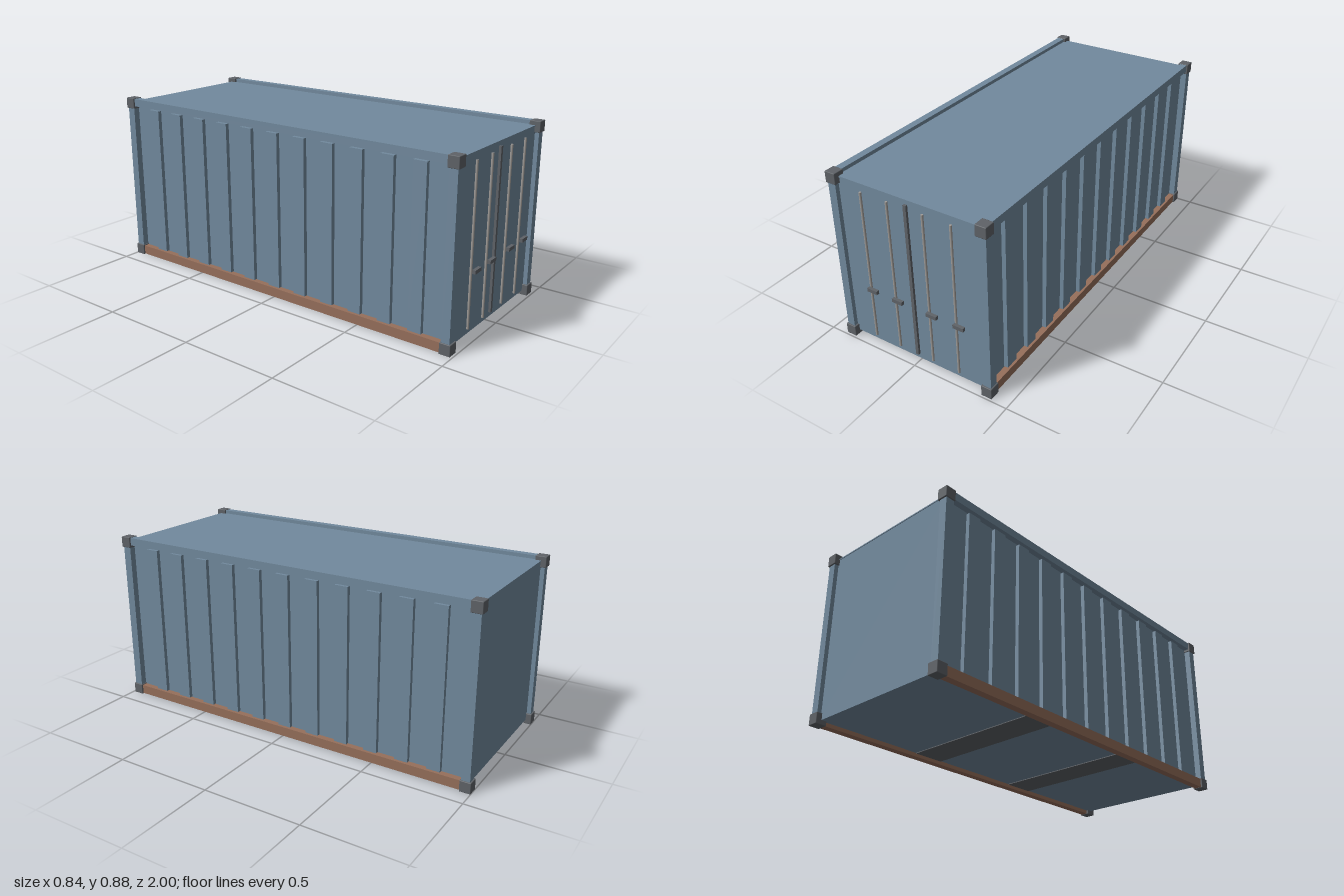
import * as THREE from 'three';
import { RoundedBoxGeometry } from 'three/addons/geometries/RoundedBoxGeometry.js';

const material = (name, color) => {
  const m = new THREE.MeshStandardMaterial({ color });
  m.name = name;
  return m;
};

export function createModel() {
  const blue = material('blue paint', 0x728a9e);
  const grey = material('dark steel', 0x5f6368);
  const steel = material('pale steel', 0xa09c98);
  const brown = material('brown rail', 0x966f5b);

  const model = new THREE.Group();
  model.name = 'shippingContainer';
  const shell = new THREE.Group();
  shell.name = 'container';
  shell.position.z = -0.005; // door handles stand proud of the front
  model.add(shell);

  const add = (name, geometry, mat, x, y, z) => {
    const mesh = new THREE.Mesh(geometry, mat);
    mesh.name = name;
    mesh.position.set(x, y, z);
    shell.add(mesh);
    return mesh;
  };
  // Box given by its lower and upper limits on each axis
  const box = (name, mat, [x0, x1], [y0, y1], [z0, z1]) =>
    add(name, new THREE.BoxGeometry(x1 - x0, y1 - y0, z1 - z0), mat,
      (x0 + x1) / 2, (y0 + y1) / 2, (z0 + z1) / 2);

  // Body, roof and fork pockets
  box('body', blue, [-0.38, 0.38], [0.022, 0.856], [-0.967, 0.967]);
  box('roof', blue, [-0.375, 0.375], [0.856, 0.862], [-0.97, 0.97]);
  for (const z of [-0.33, 0.33]) {
    box('forkPocket', grey, [-0.37, 0.37], [0.018, 0.03], [z - 0.08, z + 0.08]);
  }

  const casting = new RoundedBoxGeometry(0.055, 0.055, 0.055, 1, 0.003);
  for (const side of [-1, 1]) {
    // Long rails
    const span = side > 0 ? [0.373, 0.41] : [-0.41, -0.373];
    box('topRail', blue, span, [0.841, 0.88], [-0.95, 0.95]);
    box('bottomRail', brown, span, [0.003, 0.05], [-0.95, 0.95]);

    // Side wall ribs
    const rib = side > 0 ? [0.375, 0.4] : [-0.4, -0.375];
    for (let i = -5; i <= 5; i++) {
      const z = i * 0.161;
      box('wallRib', blue, rib, [0.053, 0.832], [z - 0.034, z + 0.034]);
    }

    // Corner posts and castings
    const post = side > 0 ? [0.371, 0.412] : [-0.412, -0.371];
    for (const end of [-1, 1]) {
      box('cornerPost', blue, post, [0.04, 0.85], end > 0 ? [0.945, 0.988] : [-0.988, -0.945]);
      for (const y of [0.0275, 0.8555]) {
        add('cornerCasting', casting, grey, side * 0.3905, y, end * 0.9675);
      }
    }
  }

  // Door seam, locking rods and handles
  box('doorSeam', grey, [-0.008, 0.008], [0.047, 0.838], [0.96, 0.979]);
  const rod = new THREE.CylinderGeometry(0.006, 0.006, 0.771, 10);
  for (const x of [-0.237, -0.094, 0.094, 0.237]) {
    add('lockingRod', rod, steel, x, 0.4425, 0.981);
    box('doorHandle', grey, [x - 0.003, x + 0.052], [0.323, 0.341], [0.989, 1.005]);
  }

  return model;
}
